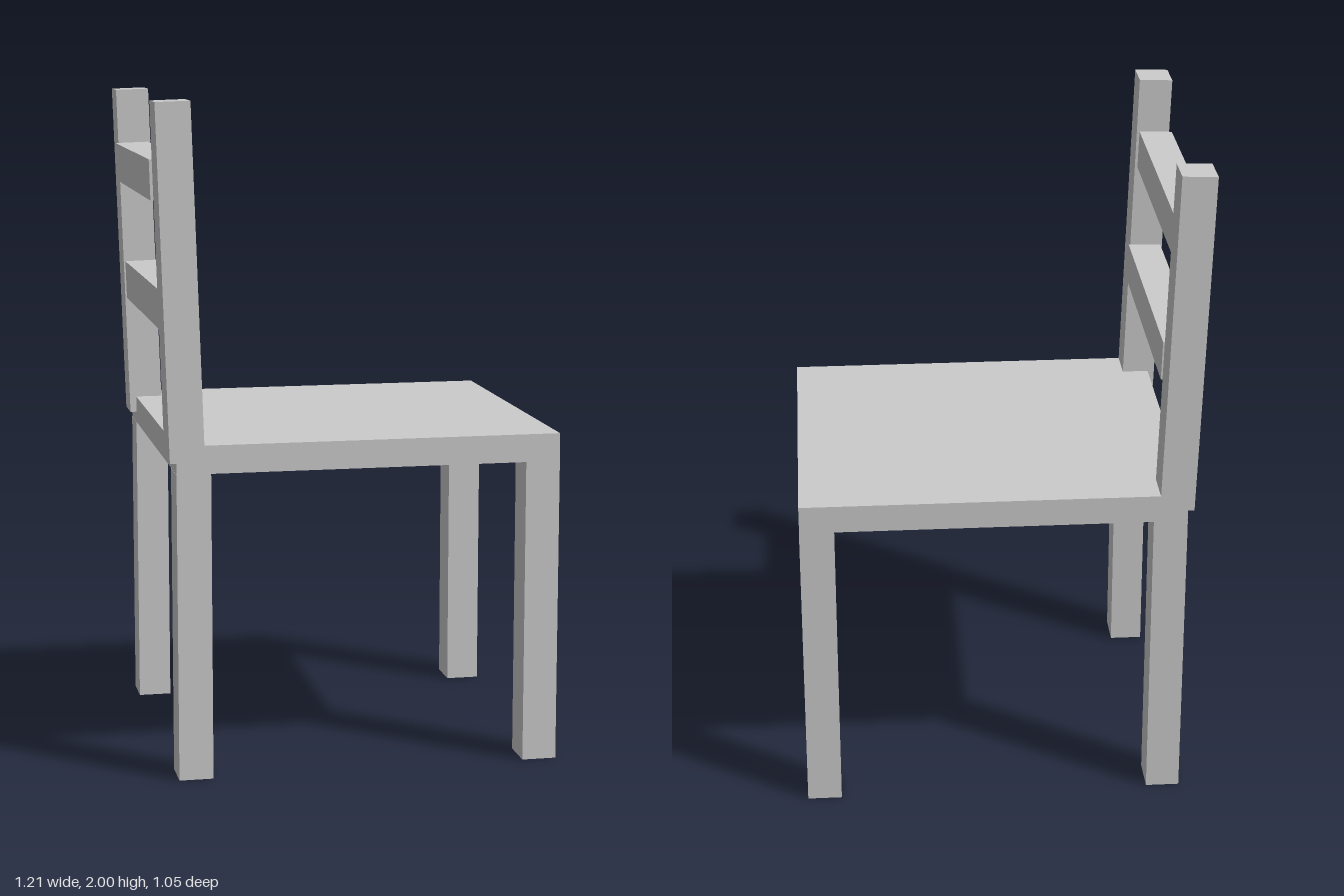
import * as THREE from 'three';

export function createModel() {
  const chair = new THREE.Group();
  chair.name = 'chair';
  const material = new THREE.MeshStandardMaterial({ color: 0xcccccc, flatShading: true });

  // Adds a box by size and centre, optionally leaning backwards about z.
  function addBox(name, [w, h, d], [x, y, z], lean = 0) {
    const mesh = new THREE.Mesh(new THREE.BoxGeometry(w, h, d), material);
    mesh.name = name;
    mesh.position.set(x, y, z);
    mesh.rotation.z = lean;
    chair.add(mesh);
  }

  const lean = 0.032;
  const barDepth = 0.116;
  const barZ = 0.469;

  // Seat: its front edge faces +x, the backrest stands at -x
  addBox('seat', [1.155, 0.084, 1.054], [0.027, 0.963, 0]);

  for (const [side, z] of [['Left', -barZ], ['Right', barZ]]) {
    // Legs, running up to the underside of the seat
    addBox('frontLeg' + side, [0.104, 0.921, barDepth], [0.553, 0.4605, z]);
    addBox('backLeg' + side, [0.102, 0.921, barDepth], [-0.5, 0.4605, z]);

    // Leaning backrest post
    addBox('backPost' + side, [0.103, 1.043, barDepth], [-0.535, 1.477, z], lean);
  }

  // Backrest rails between the posts
  addBox('lowerRail', [0.103, 0.119, 0.822], [-0.527, 1.39, 0], lean);
  addBox('upperRail', [0.103, 0.119, 0.822], [-0.553, 1.77, 0], lean);

  return chair;
}
